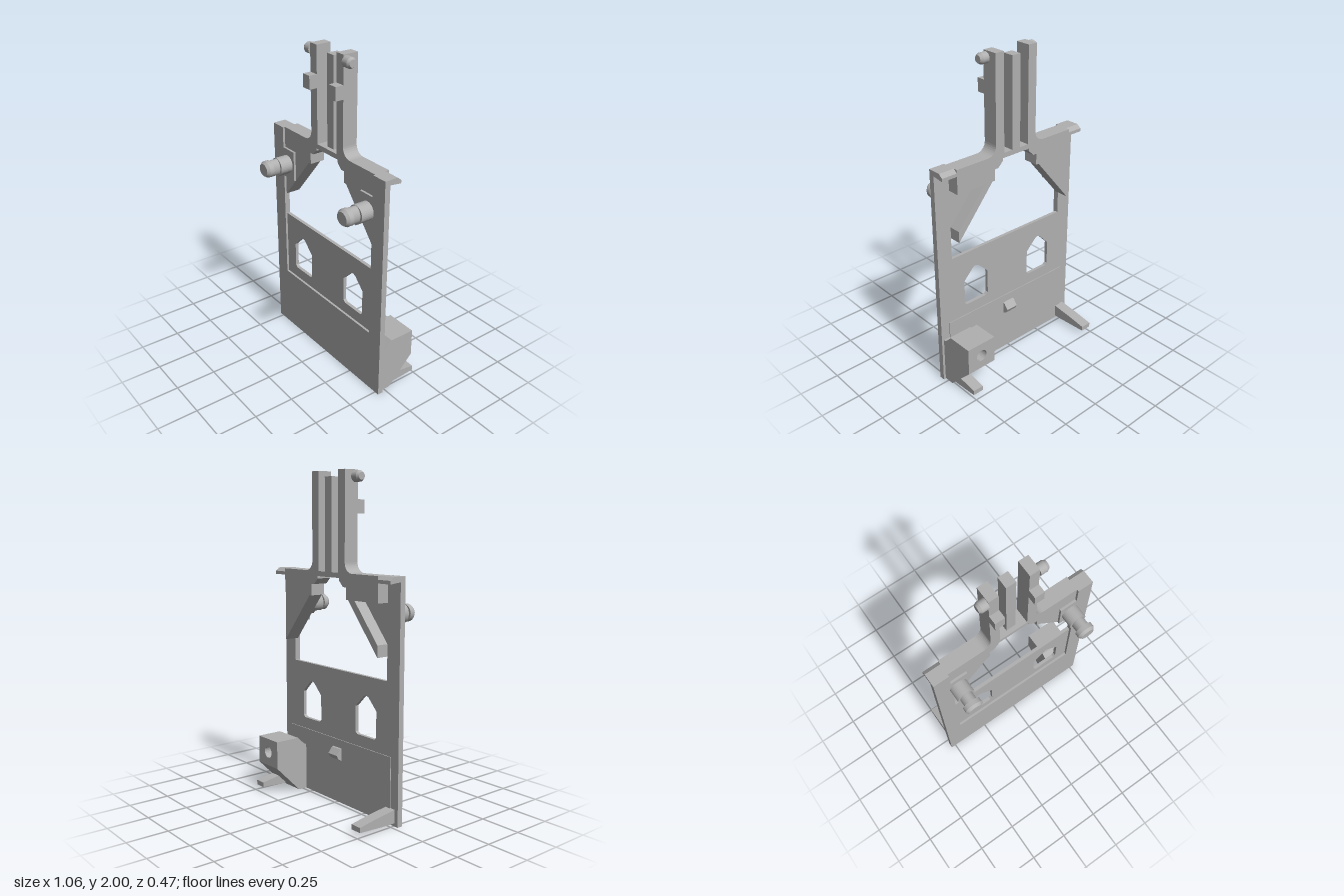
import * as THREE from 'three';

const grey = new THREE.MeshStandardMaterial({ color: 0xb0b0b0 });
grey.name = 'grey plastic';

const toPath = (pts, C = THREE.Shape) => new C(pts.map(([x, y]) => new THREE.Vector2(x, y)));
const mirror = (pts, s) => pts.map(([x, y]) => [x * s, y]);
// closed outline from its +x half
const sym = (pts) => [...pts, ...mirror(pts, -1).reverse()];

export function createModel() {
  const root = new THREE.Group();
  const add = (name, geo) => {
    const m = new THREE.Mesh(geo, grey);
    m.name = name;
    root.add(m);
    return m;
  };
  // xy outline extruded from z0 to z1
  const slab = (name, pts, z0, z1, holes = []) => {
    const s = toPath(pts);
    s.holes = holes.map((h) => toPath(h, THREE.Path));
    const g = new THREE.ExtrudeGeometry(s, { depth: z1 - z0, bevelEnabled: false });
    return add(name, g.translate(0, 0, z0));
  };
  // (z, y) outline extruded from x0 to x1
  const profile = (name, pts, x0, x1) => {
    const g = new THREE.ExtrudeGeometry(toPath(pts), { depth: x1 - x0, bevelEnabled: false });
    return add(name, g.rotateY(-Math.PI / 2).translate(x1, 0, 0));
  };
  const box = (name, x0, x1, y0, y1, z0, z1) =>
    add(name, new THREE.BoxGeometry(x1 - x0, y1 - y0, z1 - z0)
      .translate((x0 + x1) / 2, (y0 + y1) / 2, (z0 + z1) / 2));

  // main plate with large opening and two house-shaped windows
  const edge = [[0.43, 0.97], [0.18, 1.27], [0.16, 1.27], [0.16, 1.34], [0.135, 1.34], [0.1, 1.375], [0.1, 1.39]];
  const house = [[0.18, 0.47], [0.33, 0.47], [0.344, 0.484], [0.344, 0.64], [0.275, 0.71], [0.255, 0.718],
    [0.235, 0.71], [0.164, 0.64], [0.164, 0.484]];
  const opening = sym([[0.43, 0.83], ...edge]);
  slab('plate', sym([[0.53, 0], [0.53, 1.42]]), 0.025, 0.046, [opening, house, mirror(house, -1)]);

  // raised front border with pads behind the pegs
  slab('frontBorder', sym([[0.53, 0], [0.53, 1.42], [0.43, 1.42], [0.43, 1.29], [0.32, 1.29],
    [0.32, 1.1], [0.43, 1.1], [0.43, 0.4]]), 0.046, 0.06);
  box('backPanel', -0.47, 0.47, 0.005, 0.4, 0.02, 0.025);

  // thick top beam with diagonal braces
  slab('beamAndBraces', sym([...[...edge].reverse(), [0.43, 1.04], [0.236, 1.27], [0.43, 1.27], [0.43, 1.42]]),
    -0.05, 0.025);

  // central rail
  box('centreRail', -0.03, 0.03, 1.42, 1.965, -0.05, 0.02);

  for (const s of [1, -1]) {
    const span = (a, b) => (s > 0 ? [a, b] : [-b, -a]);

    // upright arm with filleted foot
    const arm = [[0.09, 1.415], [0.21, 1.415]];
    for (let i = 0; i <= 8; i++) {
      const a = -Math.PI / 2 - (i / 8) * Math.PI / 2;
      arm.push([0.21 + 0.06 * Math.cos(a), 1.48 + 0.06 * Math.sin(a)]);
    }
    arm.push([0.15, 2], [0.09, 2]);
    slab('arm', mirror(arm, s), -0.05, 0.046);
    box('armBump', ...span(0.09, 0.15), 1.755, 1.835, 0.046, 0.097);

    // side knob with chamfered end
    for (const [x0, x1, r0, r1] of [[0.15, 0.19, 0.032, 0.032], [0.19, 0.206, 0.032, 0.022]]) {
      add('armKnob', new THREE.CylinderGeometry(r1, r0, x1 - x0, 24)
        .rotateZ(-s * Math.PI / 2).translate(s * (x0 + x1) / 2, 1.962, 0.027));
    }

    // corner lip
    profile('cornerLip', [[0.03, 1.39], [-0.05, 1.38], [-0.05, 1.4], [-0.025, 1.42], [0.03, 1.42]], ...span(0.43, 0.53));

    // front peg: teardrop base, narrow neck, chamfered head
    const px = 0.388 * s, py = 1.195;
    const drop = [[0, -0.068]];
    for (let i = 0; i <= 24; i++) {
      const a = -Math.PI / 4 + (i / 24) * Math.PI * 1.5;
      drop.push([0.055 * Math.cos(a), 0.055 * Math.sin(a)]);
    }
    slab('pegBase', drop, 0.045, 0.14).position.set(px, py, 0);
    add('pegNeck', new THREE.CylinderGeometry(0.055, 0.055, 0.055, 24)
      .rotateX(Math.PI / 2).scale(0.73, 0.95, 1).translate(px, py, 0.166));
    for (const [z0, z1, r0, r1] of [[0.19, 0.218, 0.055, 0.055], [0.218, 0.235, 0.055, 0.042]]) {
      add('pegHead', new THREE.CylinderGeometry(r1, r0, z1 - z0, 24)
        .rotateX(Math.PI / 2).scale(1, 0.93, 1).translate(px, py + 0.003, (z0 + z1) / 2));
    }

    // rear foot
    profile('rearFoot', [[0.03, 0.02], [-0.04, 0.02], [-0.235, 0.03], [-0.235, 0.06], [-0.12, 0.08], [0.03, 0.1]],
      ...span(0.435, 0.505));
  }

  // rear block with round socket
  const socket = [];
  for (let i = 0; i < 24; i++) {
    const a = (i / 24) * Math.PI * 2;
    socket.push([0.415 + 0.037 * Math.cos(a), 0.262 + 0.037 * Math.sin(a)]);
  }
  slab('rearBlock', [[0.315, 0.175], [0.515, 0.175], [0.515, 0.348], [0.315, 0.348]], -0.207, -0.045, [socket]);
  profile('rearBlockBase', [[0.025, 0.003], [-0.04, 0.005], [-0.207, 0.175], [-0.045, 0.175], [-0.045, 0.348],
    [0.01, 0.295], [0.025, 0.295]], 0.315, 0.515);

  // small latch on the back panel
  profile('latch', [[0.022, 0.27], [-0.005, 0.285], [-0.018, 0.31], [0.01, 0.345], [0.022, 0.35]], -0.04, 0.04);

  return root;
}
